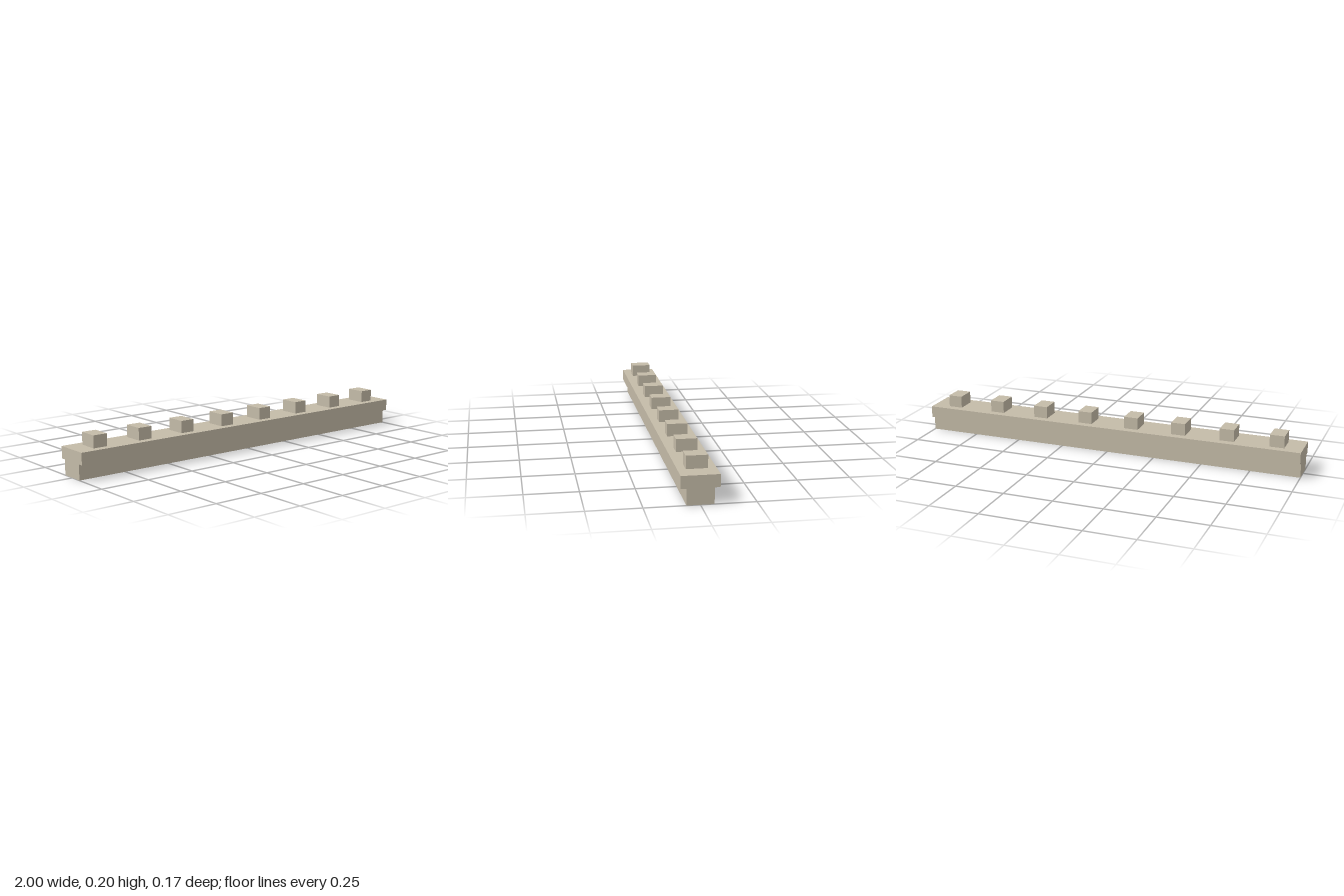
import * as THREE from 'three';

export function createModel() {
  const model = new THREE.Group();
  model.name = 'crenellatedParapet';
  const stone = new THREE.MeshStandardMaterial({ color: 0xc4bba8 });
  stone.name = 'paleStone';

  // Wall and overhanging ledge: one T-shaped section run along x
  const wallHalf = 0.062, ledgeHalf = 0.0875, ledgeY = 0.076, topY = 0.135;
  const section = new THREE.Shape([
    [-wallHalf, 0], [wallHalf, 0], [wallHalf, ledgeY], [ledgeHalf, ledgeY],
    [ledgeHalf, topY], [-ledgeHalf, topY], [-ledgeHalf, ledgeY], [-wallHalf, ledgeY],
  ].map(([z, y]) => new THREE.Vector2(z, y)));
  const wallGeometry = new THREE.ExtrudeGeometry(section, { depth: 2, bevelEnabled: false });
  wallGeometry.translate(0, 0, -1).rotateY(Math.PI / 2);
  const wall = new THREE.Mesh(wallGeometry, stone);
  wall.name = 'wallWithLedge';
  model.add(wall);

  // Eight evenly spaced merlons
  const merlonHeight = 0.061;
  const merlonGeometry = new THREE.BoxGeometry(0.073, merlonHeight, 0.099);
  for (let i = 0; i < 8; i++) {
    const merlon = new THREE.Mesh(merlonGeometry, stone);
    merlon.name = `merlon${i + 1}`;
    merlon.position.set(-0.875 + i * 0.25, topY + merlonHeight / 2, 0);
    model.add(merlon);
  }
  return model;
}
